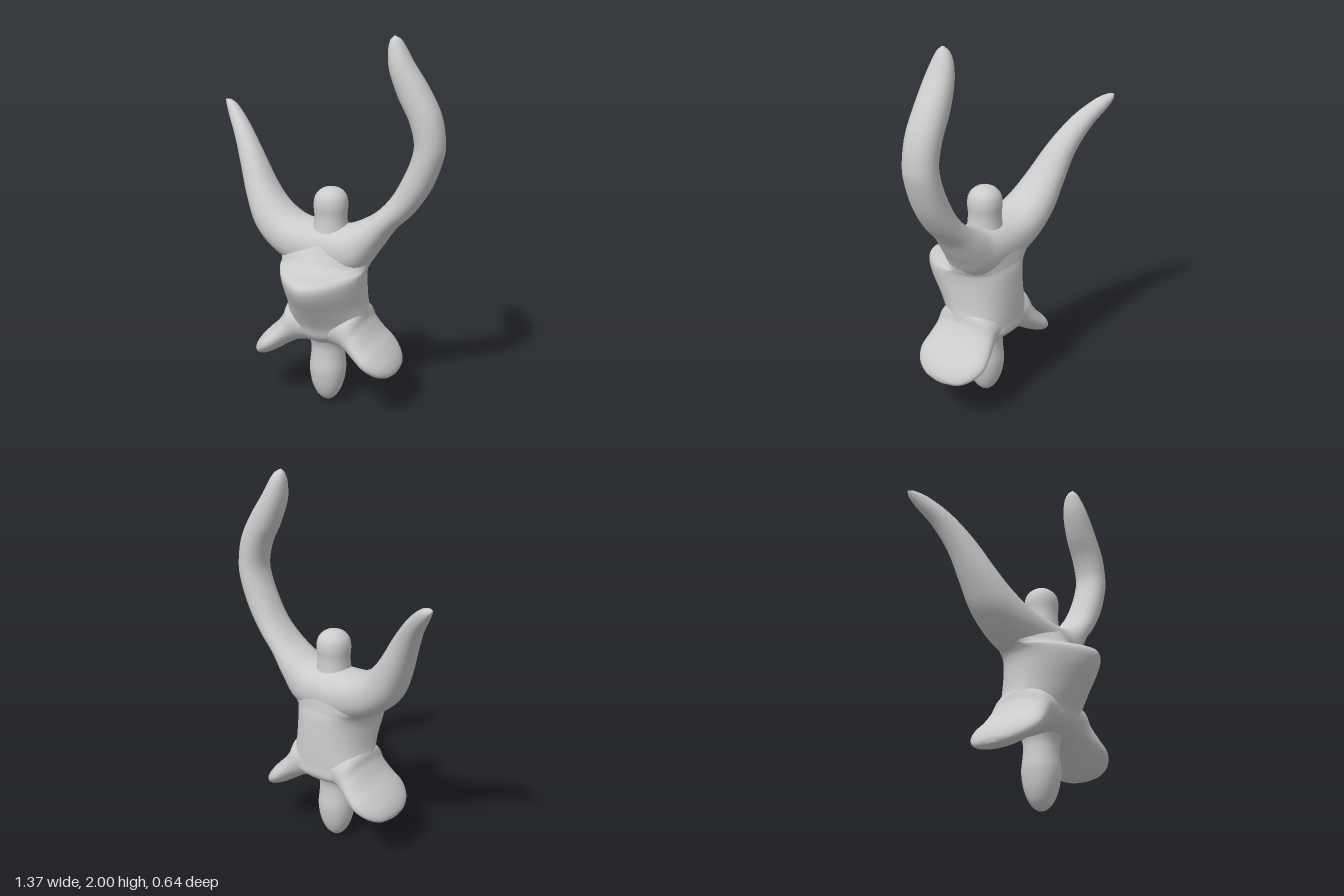
import * as THREE from 'three';

const SIDES = 48, STEPS = 6, MID = 0.08;
const material = new THREE.MeshStandardMaterial({ color: 0xcccccc });

// Smooth closed skin through oval sections. Each section is
// [ax, ay, bx, by, z0, z1]: two opposite edge points and a depth range.
// The powers set how square the back and front halves of the oval are.
function loft(name, sections, power = 2.2, frontPower = power) {
  const curveA = new THREE.CatmullRomCurve3(
    sections.map(s => new THREE.Vector3(s[0], s[1], s[4])), false, 'catmullrom');
  const curveB = new THREE.CatmullRomCurve3(
    sections.map(s => new THREE.Vector3(s[2], s[3], s[5])), false, 'catmullrom');
  const rows = (sections.length - 1) * STEPS;
  const pos = [], index = [];
  const bulge = (c, p) => Math.sign(c) * Math.pow(Math.abs(c), 2 / p);
  for (let i = 0; i <= rows; i++) {
    const a = curveA.getPoint(i / rows), b = curveB.getPoint(i / rows);
    for (let j = 0; j < SIDES; j++) {
      const t = (j / SIDES) * Math.PI * 2;
      const p = Math.sin(t) > 0 ? frontPower : power;
      const u = bulge(Math.cos(t), p) / 2, v = bulge(Math.sin(t), p) / 2;
      pos.push(
        (a.x + b.x) / 2 + (a.x - b.x) * u,
        (a.y + b.y) / 2 + (a.y - b.y) * u,
        (a.z + b.z) / 2 + (b.z - a.z) * v);
    }
  }
  for (let i = 0; i < rows; i++) {
    for (let j = 0; j < SIDES; j++) {
      const k = (j + 1) % SIDES, p = i * SIDES, q = p + SIDES;
      index.push(p + j, p + k, q + j, p + k, q + k, q + j);
    }
  }
  // Close both ends
  const last = rows * SIDES;
  for (let j = 1; j < SIDES - 1; j++) {
    index.push(0, j + 1, j, last, last + j, last + j + 1);
  }
  // Turn the faces outward if the enclosed volume is negative
  const at = n => new THREE.Vector3().fromArray(pos, n * 3);
  let volume = 0;
  for (let n = 0; n < index.length; n += 3) {
    volume += at(index[n]).dot(at(index[n + 1]).cross(at(index[n + 2])));
  }
  if (volume < 0) index.reverse();

  const geometry = new THREE.BufferGeometry();
  geometry.setAttribute('position', new THREE.Float32BufferAttribute(pos, 3));
  geometry.setIndex(index);
  geometry.computeVertexNormals();
  const mesh = new THREE.Mesh(geometry, material);
  mesh.name = name;
  return mesh;
}

// Upright round part from [y, radius] pairs
const knob = (name, x, z, profile) =>
  loft(name, profile.map(([y, r]) => [x - r, y, x + r, y, z - r, z + r]));

export function createModel() {
  const group = new THREE.Group();
  group.name = 'figure';

  // Both arms run through the chest as one skin, tip to tip
  group.add(loft('armsAndChest', [
    [-0.69, 1.55, -0.685, 1.535, -0.315, -0.3],
    [-0.66, 1.553, -0.67, 1.512, -0.323, -0.272],
    [-0.6, 1.53, -0.635, 1.465, -0.312, -0.225],
    [-0.5, 1.45, -0.565, 1.375, -0.27, -0.15],
    [-0.39, 1.325, -0.495, 1.24, -0.228, -0.075],
    [-0.285, 1.175, -0.43, 1.09, -0.212, -0.005],
    [-0.2, 1.085, -0.355, 0.945, -0.205, 0.045],
    [-0.1, 1.028, -0.24, 0.84, -0.2, 0.08],
    [0, 1.015, -0.1, 0.775, -0.195, 0.095],
    [0.08, 1.015, 0.08, 0.75, -0.193, 0.098],
    [0.17, 1.018, 0.26, 0.78, -0.192, 0.095],
    [0.25, 1.05, 0.355, 0.9, -0.185, 0.07],
    [0.34, 1.11, 0.435, 1.02, -0.17, 0.05],
    [0.42, 1.2, 0.53, 1.12, -0.16, 0.035],
    [0.48, 1.31, 0.615, 1.25, -0.155, 0.03],
    [0.523, 1.42, 0.67, 1.4, -0.153, 0.027],
    [0.53, 1.5, 0.68, 1.5, -0.15, 0.025],
    [0.5, 1.6, 0.655, 1.63, -0.15, 0.025],
    [0.44, 1.71, 0.59, 1.755, -0.145, 0.022],
    [0.395, 1.83, 0.512, 1.87, -0.13, 0.015],
    [0.383, 1.92, 0.468, 1.945, -0.11, -0.005],
    [0.39, 1.975, 0.445, 1.982, -0.085, -0.025],
    [0.41, 2.0, 0.42, 2.0, -0.055, -0.045],
  ]));

  // Torso with the belly pushed forward: [y, x0, x1, z0, z1]
  group.add(loft('torsoAndBelly', [
    [1.0, 0.0, 0.16, -0.1, 0.0],
    [0.95, -0.12, 0.28, -0.165, 0.075],
    [0.88, -0.205, 0.33, -0.19, 0.118],
    [0.83, -0.19, 0.312, -0.197, 0.155],
    [0.805, -0.17, 0.304, -0.2, 0.205],
    [0.79, -0.158, 0.301, -0.204, 0.275],
    [0.76, -0.142, 0.298, -0.21, 0.313],
    [0.7, -0.131, 0.295, -0.215, 0.3],
    [0.6, -0.13, 0.295, -0.22, 0.235],
    [0.5, -0.148, 0.308, -0.221, 0.17],
    [0.43, -0.15, 0.31, -0.215, 0.14],
    [0.38, -0.04, 0.2, -0.14, 0.07],
    [0.36, 0.05, 0.11, -0.06, -0.01],
  ].map(([y, x0, x1, z0, z1]) => [x0, y, x1, y, z0, z1]), 2.5, 1.6));

  // Paddle legs, mirrored about the body's middle
  const half = [
    [-0.32, 0.25, -0.31, 0.24, -0.06, -0.01],
    [-0.322, 0.28, -0.285, 0.235, -0.14, 0.065],
    [-0.298, 0.33, -0.24, 0.245, -0.2, 0.13],
    [-0.25, 0.385, -0.18, 0.28, -0.238, 0.165],
    [-0.195, 0.44, -0.12, 0.32, -0.235, 0.157],
    [-0.15, 0.51, -0.06, 0.352, -0.222, 0.142],
    [-0.11, 0.59, 0.0, 0.36, -0.213, 0.138],
  ];
  const other = half.map(([ax, ay, bx, by, z0, z1]) =>
    [2 * MID - ax, ay, 2 * MID - bx, by, z0, z1]).reverse();
  group.add(loft('legs', [...half, [MID, 0.62, MID, 0.36, -0.21, 0.138], ...other], 2.05));

  group.add(knob('head', 0.088, -0.038, [
    [0.94, 0.1], [1.0, 0.089], [1.06, 0.084], [1.12, 0.088], [1.165, 0.08],
    [1.195, 0.056], [1.208, 0.028], [1.211, 0.004],
  ]));

  group.add(knob('tail', 0.078, -0.035, [
    [0.46, 0.13], [0.39, 0.105], [0.34, 0.09], [0.28, 0.09], [0.2, 0.097],
    [0.12, 0.087], [0.06, 0.066], [0.025, 0.042], [0.008, 0.02], [0.004, 0.004],
  ]));

  return group;
}
